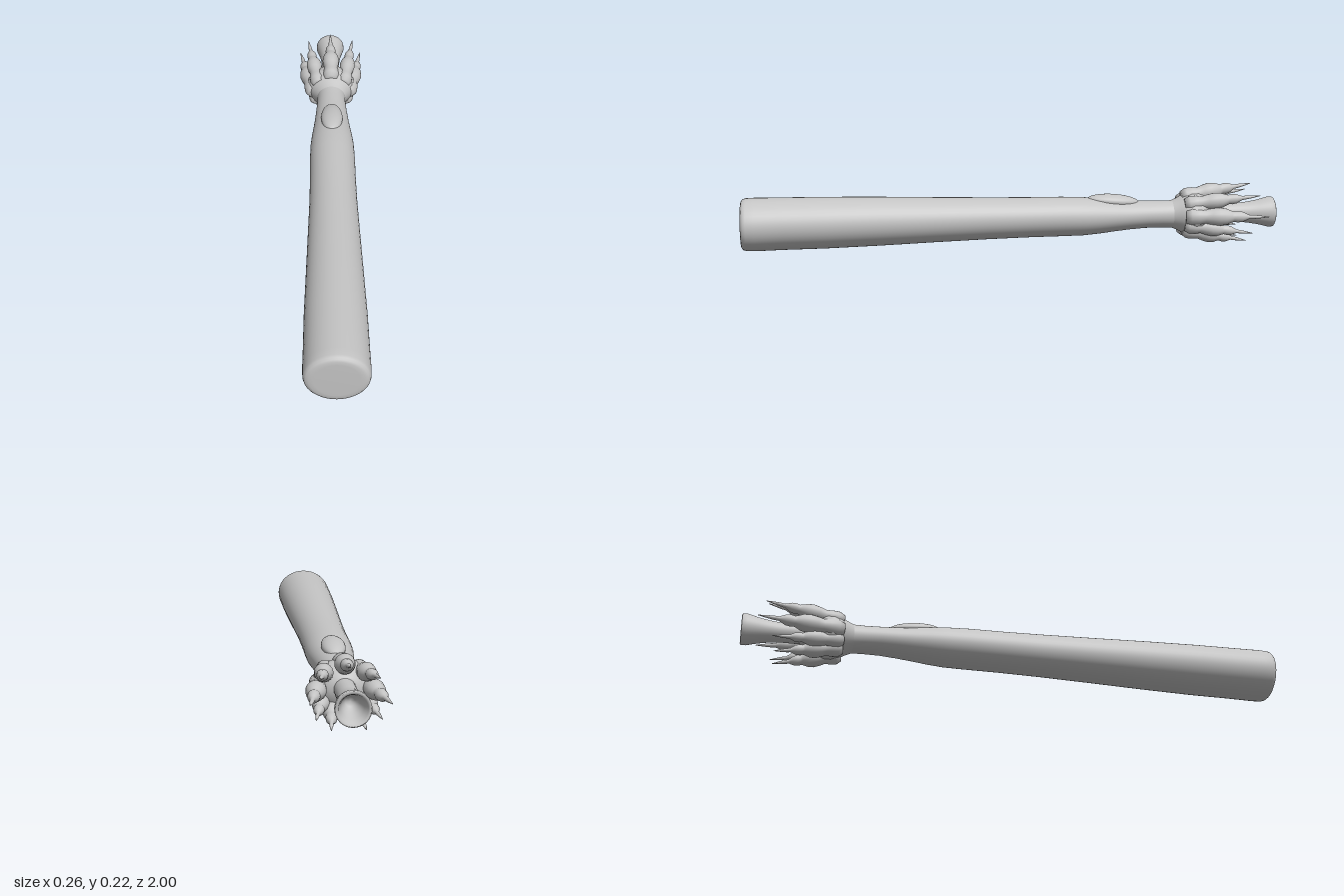
import * as THREE from 'three';
import { mergeVertices } from 'three/addons/utils/BufferGeometryUtils.js';

const grey = new THREE.MeshStandardMaterial({ color: 0xc4c4c4 });
grey.name = 'plain grey';
const MID = 0.1; // height of the long axis

// Smooth skin along z from sections [z, half width, top, bottom], back to front
function loft(name, sections, sides = 40) {
  const pts = sections.map(([z, rx]) => new THREE.Vector2(rx, z));
  let g = new THREE.LatheGeometry(pts, sides).rotateX(Math.PI / 2);
  const p = g.attributes.position, n = sections.length;
  for (let i = 0; i < p.count; i++) {
    const [, rx, top, bottom] = sections[i % n];
    const k = rx ? (top - bottom) / 2 / rx : 0;
    p.setY(i, p.getY(i) * k + (top + bottom) / 2);
  }
  g.deleteAttribute('normal');
  g.deleteAttribute('uv');
  g = mergeVertices(g, 1e-5);
  g.computeVertexNormals();
  const mesh = new THREE.Mesh(g, grey);
  mesh.name = name;
  return mesh;
}

// Round section about the long axis
const ring = (z, r) => [z, r, MID + r, MID - r];

// Knuckled toe with a thin claw, pointing along +y (length 1 = tip)
const TOE = [[0, 0], [0.024, 0], [0.033, 0.07], [0.031, 0.16], [0.026, 0.24], [0.031, 0.32], [0.034, 0.41],
  [0.030, 0.49], [0.022, 0.55], [0.019, 0.58], [0.021, 0.62], [0.019, 0.68], [0.012, 0.73],
  [0.008, 0.76], [0.0075, 0.82], [0.005, 0.9], [0.001, 1]];

function makeToe(degrees, tipZ, size) {
  const a = THREE.MathUtils.degToRad(degrees);
  const at = (r, z) => new THREE.Vector3(Math.cos(a) * r * 1.14, MID + Math.sin(a) * r, z);
  const start = at(0.062, -0.64), end = at(0.111, tipZ);
  const dir = end.clone().sub(start), length = dir.length();
  const pts = TOE.map(([r, t]) => new THREE.Vector2(r * size, t * length));
  const toe = new THREE.Mesh(new THREE.LatheGeometry(pts, 20), grey);
  toe.quaternion.setFromUnitVectors(new THREE.Vector3(0, 1, 0), dir.normalize());
  toe.position.copy(start);
  toe.name = 'clawedToe';
  return toe;
}

export function createModel() {
  const model = new THREE.Group();
  model.name = 'clawedStaff';

  // Long tapered shaft with a softly rounded front end
  model.add(loft('shaft', [
    [-0.66, 0.058, 0.158, 0.042], [-0.61, 0.056, 0.152, 0.048], [-0.56, 0.057, 0.151, 0.05],
    [-0.5, 0.061, 0.152, 0.05], [-0.44, 0.066, 0.154, 0.046], [-0.38, 0.072, 0.159, 0.04],
    [-0.32, 0.079, 0.166, 0.033], [-0.26, 0.084, 0.171, 0.028], [-0.18, 0.086, 0.174, 0.027],
    [-0.05, 0.086, 0.175, 0.026], [0.1, 0.088, 0.178, 0.023], [0.3, 0.094, 0.183, 0.017],
    [0.5, 0.1, 0.189, 0.01], [0.7, 0.106, 0.193, 0.005], [0.85, 0.108, 0.194, 0.004],
    [0.95, 0.11, 0.195, 0.002], [0.98, 0.109, 0.194, 0.003], [0.99, 0.106, 0.191, 0.006],
    [0.996, 0.1, 0.186, 0.011], [0.999, 0.09, 0.178, 0.019], [1, 0.075, 0.165, 0.032],
    [1, 0, MID, MID],
  ]));

  // Oval button on the narrowing wrist
  const button = new THREE.Mesh(new THREE.SphereGeometry(1, 32, 20), grey);
  button.scale.set(0.042, 0.026, 0.1);
  button.position.set(0, 0.155, -0.375);
  button.rotation.x = -0.08;
  button.name = 'button';
  model.add(button);

  // Swollen palm
  model.add(loft('palm', [
    [-0.76, 0, MID, MID], [-0.755, 0.05, 0.142, 0.058], [-0.73, 0.083, 0.172, 0.028],
    [-0.7, 0.098, 0.182, 0.018], [-0.675, 0.1, 0.183, 0.017], [-0.65, 0.091, 0.175, 0.025],
    [-0.625, 0.072, 0.161, 0.039], [-0.6, 0.057, 0.151, 0.049],
  ]));

  // Flared pipe with a hollow mouth at the back
  model.add(loft('pipe', [
    ring(-0.9, 0), ring(-0.905, 0.015), ring(-0.93, 0.028), ring(-0.965, 0.037), ring(-0.993, 0.046),
    ring(-1, 0.052), ring(-0.997, 0.057), ring(-0.98, 0.057), ring(-0.94, 0.047),
    ring(-0.9, 0.04), ring(-0.86, 0.036), ring(-0.7, 0.036),
  ]));

  // Toes spread around the pipe
  const toes = new THREE.Group();
  toes.name = 'toes';
  toes.add(makeToe(90, -0.91, 1));
  for (const [angle, tipZ, size] of [[43, -0.92, 0.92], [0, -0.945, 1], [-35, -0.89, 0.85], [-64, -0.88, 0.92]]) {
    toes.add(makeToe(angle, tipZ, size), makeToe(180 - angle, tipZ, size));
  }
  model.add(toes);
  return model;
}
